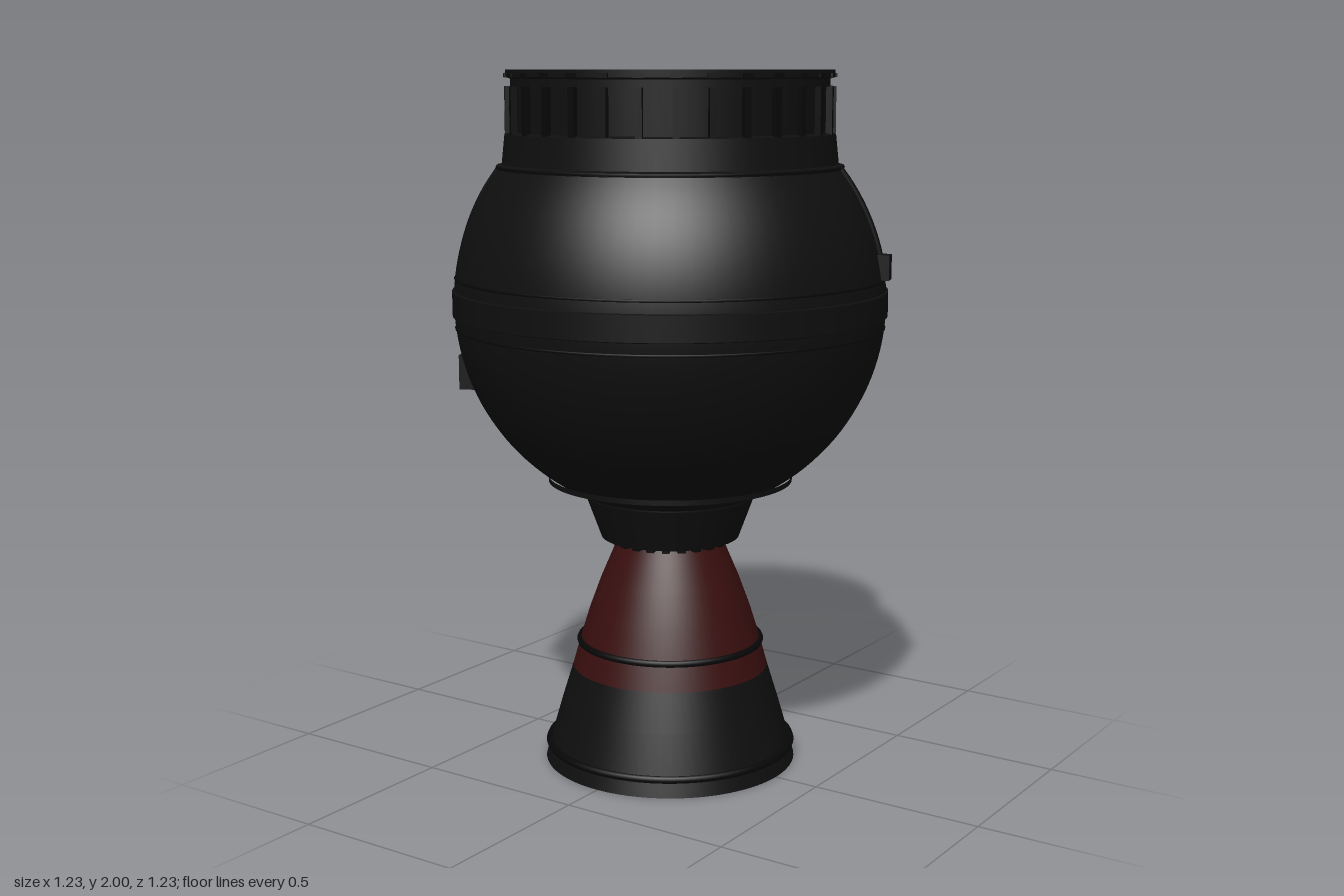
import * as THREE from 'three';

const black = new THREE.MeshStandardMaterial({ name: 'matte black', color: 0x0f0f0f });
const dark = new THREE.MeshStandardMaterial({ name: 'deep black', color: 0x070707 });
const red = new THREE.MeshStandardMaterial({ name: 'dark red', color: 0x3a0f0f });
const redInside = new THREE.MeshStandardMaterial({ name: 'dark red lining', color: 0x3a0f0f, side: THREE.BackSide });

export function createModel() {
  const model = new THREE.Group();

  function add(name, geometry, material, parent = model) {
    const mesh = new THREE.Mesh(geometry, material);
    mesh.name = name;
    parent.add(mesh);
    return mesh;
  }
  // Profile points are [radius, height], listed upwards for outward faces
  const lathe = (points) => new THREE.LatheGeometry(points.map(([r, y]) => new THREE.Vector2(r, y)), 72);
  // Separate segments keep profile corners sharp
  function turned(name, points, material) {
    const group = new THREE.Group();
    group.name = name;
    for (let i = 0; i < points.length - 1; i++) add(name + 'Face', lathe([points[i], points[i + 1]]), material, group);
    model.add(group);
  }
  function hoop(name, radius, y, tube, material = dark) {
    const mesh = add(name, new THREE.TorusGeometry(radius, tube, 8, 72), material);
    mesh.rotation.x = Math.PI / 2;
    mesh.position.y = y;
  }
  // Repeats a geometry around the vertical axis
  function around(name, geometry, count, radius, y, material) {
    const group = new THREE.Group();
    group.name = name;
    for (let i = 0; i < count; i++) {
      const a = (i / count) * Math.PI * 2;
      const mesh = add(name + 'Piece', geometry, material, group);
      mesh.position.set(Math.sin(a) * radius, y, Math.cos(a) * radius);
      mesh.rotation.y = a;
    }
    model.add(group);
  }

  // Spherical tank
  const R = 0.612, CY = 1.355;
  const ball = [];
  for (let i = 0; i <= 40; i++) {
    const a = -1.17 + (i / 40) * (1.17 + 0.66);
    ball.push([R * Math.cos(a), CY + R * Math.sin(a)]);
  }
  add('tank', lathe(ball), black);
  turned('equatorBand', [[0.606, 1.315], [0.617, 1.32], [0.617, 1.39], [0.606, 1.395]], black);
  const onBall = (y) => Math.sqrt(R * R - (y - CY) ** 2);
  for (const y of [1.285, 1.425]) hoop('seam', onBall(y) - 0.001, y, 0.004);
  turned('lowerCollar', [[0.25, 0.8], [0.33, 0.835], [0.352, 0.835], [0.352, 0.85]], black);

  // Upper skirt, lip and recessed dome
  turned('upperSkirt', [[0.47, 1.72], [0.487, 1.728], [0.487, 1.738], [0.472, 1.742], [0.463, 1.825],
    [0.445, 1.83], [0.445, 1.975], [0.459, 1.98], [0.459, 2], [0.37, 2], [0.37, 1.86]], black);
  add('recessDome', lathe([[0.37, 1.86], [0.3, 1.886], [0.2, 1.91], [0.1, 1.923], [0, 1.926]]), black);
  hoop('skirtSeam', 0.484, 1.733, 0.005);
  around('skirtRibs', new THREE.BoxGeometry(0.018, 0.13, 0.02), 30, 0.452, 1.89, dark);
  around('lipClips', new THREE.BoxGeometry(0.03, 0.012, 0.012), 30, 0.458, 1.985, dark);

  // Hatch in the middle of the recess
  turned('hatch', [[0.13, 1.9], [0.13, 1.94], [0.095, 1.945], [0.09, 1.955], [0, 1.955]], black);
  around('hatchBolts', new THREE.CylinderGeometry(0.009, 0.009, 0.02, 8), 12, 0.112, 1.948, dark);

  // Neck with bolted flange
  turned('neck', [[0.13, 0.668], [0.2, 0.668], [0.245, 0.79], [0.245, 0.81]], black);
  around('flangeBolts', new THREE.BoxGeometry(0.022, 0.018, 0.02), 24, 0.168, 0.664, dark);

  // Nozzle bell: red above, black below, red lining
  const upper = [[0.285, 0.28], [0.263, 0.36], [0.235, 0.45], [0.202, 0.54], [0.17, 0.615], [0.145, 0.675]];
  const lower = [[0.367, 0], [0.352, 0.055], [0.319, 0.17], [0.285, 0.28]];
  add('nozzleUpper', lathe(upper), red);
  add('nozzleLower', lathe(lower), black);
  add('nozzleLining', lathe([...lower, ...upper.slice(1), [0.07, 0.72], [0, 0.73]].map(([r, y]) => [Math.max(r - 0.006, 0), y])), redInside);
  add('nozzleLip', lathe([[0.361, 0], [0.367, 0]]), dark);
  hoop('nozzleMidRing', 0.264, 0.357, 0.01);
  hoop('nozzleLowRing', 0.356, 0.05, 0.011);

  // Cables running down the tank, each ending in a small box
  function cable(name, angle, endY, boxSize) {
    const group = new THREE.Group();
    group.name = name;
    const points = [];
    for (let i = 0; i <= 8; i++) {
      const y = 1.735 + (endY - 1.735) * (i / 8);
      points.push(new THREE.Vector3(0, y, onBall(y) + 0.004));
    }
    add('cableLine', new THREE.TubeGeometry(new THREE.CatmullRomCurve3(points), 24, 0.008, 6), dark, group);
    const box = add('cableBox', new THREE.BoxGeometry(...boxSize), black, group);
    box.position.set(0, endY - boxSize[1] / 2 + 0.02, onBall(endY - boxSize[1] / 2) + 0.005);
    group.rotation.y = angle;
    model.add(group);
  }
  cable('rightCable', Math.atan2(-0.55, 0.29), 1.17, [0.07, 0.1, 0.08]);
  cable('leftCable', Math.atan2(0.58, -0.2), 1.48, [0.045, 0.07, 0.035]);

  return model;
}
